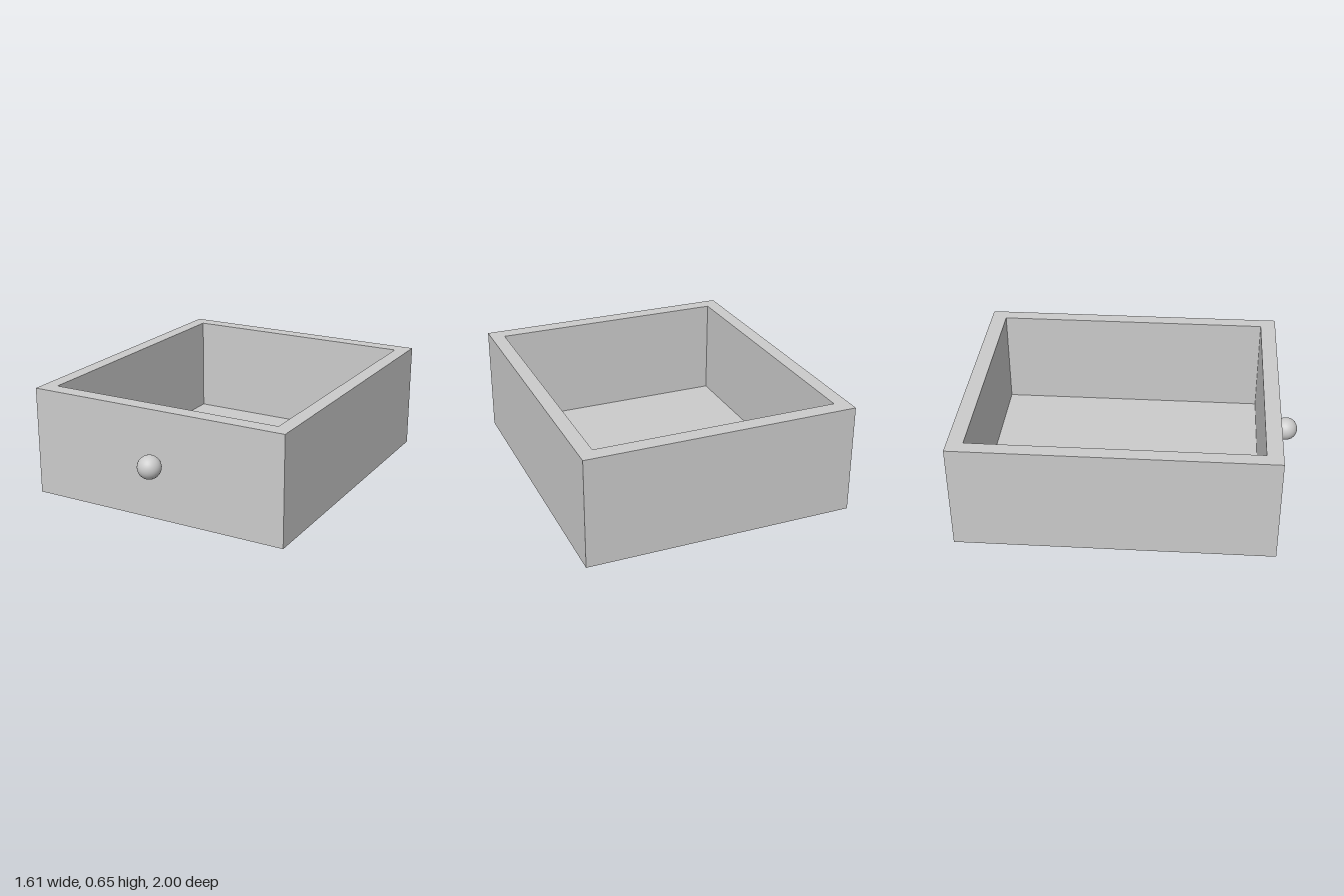
import * as THREE from 'three';

const HALF_X = 0.805, BACK = -1, FRONT = 0.868, HEIGHT = 0.65;
const WALL_X = 0.085, WALL_Z = 0.094, FLOOR = 0.046;

// Closed rectangle on the ground plane (shape y becomes -z once laid flat)
function rectangle(Type, x, back, front) {
  return new Type([[-x, -front], [x, -front], [x, -back], [-x, -back]].map(([a, b]) => new THREE.Vector2(a, b)));
}

export function createModel() {
  const drawer = new THREE.Group();
  drawer.name = 'drawer';
  const material = new THREE.MeshStandardMaterial({ color: 0xcccccc });
  const add = (name, geometry, x, y, z) => {
    const mesh = new THREE.Mesh(geometry, material);
    mesh.name = name;
    mesh.position.set(x, y, z);
    drawer.add(mesh);
  };

  // Four walls as one open frame
  const outline = rectangle(THREE.Shape, HALF_X, BACK, FRONT);
  outline.holes.push(rectangle(THREE.Path, HALF_X - WALL_X, BACK + WALL_Z, FRONT - WALL_Z));
  const walls = new THREE.ExtrudeGeometry(outline, { depth: HEIGHT, bevelEnabled: false });
  walls.rotateX(-Math.PI / 2);
  add('walls', walls, 0, 0, 0);

  // Bottom panel fitted between the walls
  const floor = new THREE.BoxGeometry(2 * (HALF_X - WALL_X), FLOOR, FRONT - BACK - 2 * WALL_Z);
  add('floor', floor, 0, FLOOR / 2, (FRONT + BACK) / 2);

  // Round pull set slightly into the front
  add('knob', new THREE.SphereGeometry(0.069, 32, 16), 0.008, 0.337, 0.931);

  return drawer;
}
